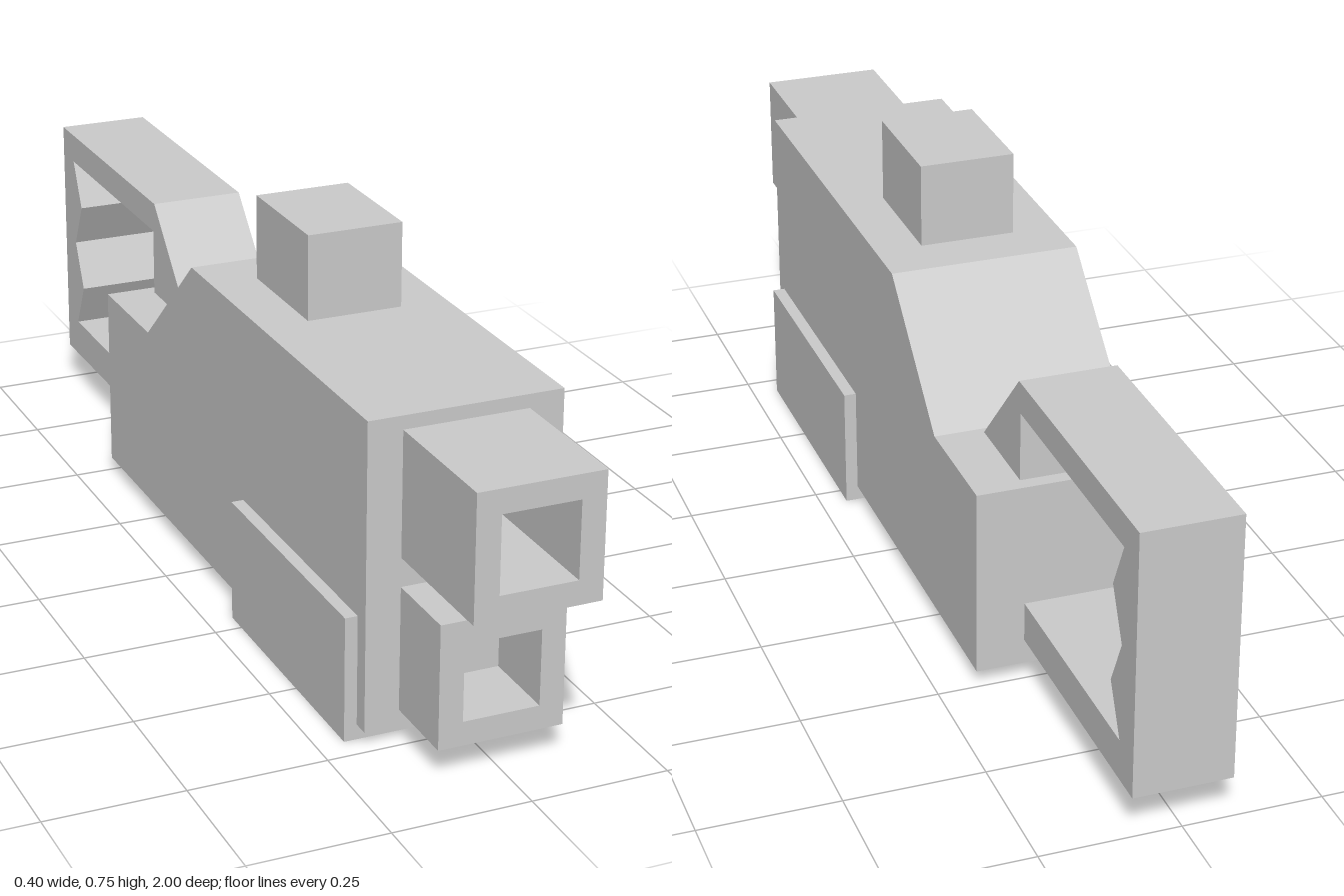
import * as THREE from 'three';

const material = new THREE.MeshStandardMaterial({ color: 0xcccccc, flatShading: true });

function add(group, name, geometry) {
  const mesh = new THREE.Mesh(geometry, material);
  mesh.name = name;
  group.add(mesh);
}

// Side outline given as [z, y] points, extruded symmetrically across x
function sideProfile(points, halfWidth) {
  const shape = new THREE.Shape(points.map(([z, y]) => new THREE.Vector2(-z, y)));
  const geometry = new THREE.ExtrudeGeometry(shape, { depth: 2 * halfWidth, bevelEnabled: false });
  return geometry.translate(0, 0, -halfWidth).rotateY(Math.PI / 2);
}

// Box from half width and y / z ranges
function block(halfWidth, y0, y1, z0, z1) {
  return new THREE.BoxGeometry(2 * halfWidth, y1 - y0, z1 - z0)
    .translate(0, (y0 + y1) / 2, (z0 + z1) / 2);
}

function square(PathType, half) {
  return new PathType([[-1, -1], [1, -1], [1, 1], [-1, 1]]
    .map(([x, y]) => new THREE.Vector2(x * half, y * half)));
}

// Square tube running forward along z
function squareTube(y, z0, z1) {
  const shape = square(THREE.Shape, 0.114);
  shape.holes.push(square(THREE.Path, 0.07));
  return new THREE.ExtrudeGeometry(shape, { depth: z1 - z0, bevelEnabled: false })
    .translate(0, y, z0);
}

export function createModel() {
  const group = new THREE.Group();

  // Main body with sloped rear step
  add(group, 'body', sideProfile([
    [0.735, 0.028], [0.735, 0.592], [-0.035, 0.592],
    [-0.27, 0.38], [-0.495, 0.38], [-0.495, 0.028],
  ], 0.177));

  // Wider block wrapped around the lower front
  add(group, 'lowerBlock', block(0.2, 0, 0.231, 0.207, 0.704));

  // Raised block on top
  add(group, 'topBlock', block(0.089, 0.592, 0.749, 0.062, 0.293));

  // Hollow square barrels
  add(group, 'upperBarrel', squareTube(0.453, 0.735, 1));
  add(group, 'lowerBarrel', squareTube(0.172, 0.735, 0.885));

  // Rear handle frame with a toothed inner grip
  add(group, 'handle', sideProfile([
    [-0.283, 0.38], [-0.46, 0.567], [-1, 0.567], [-1, 0.075],
    [-0.495, 0.075], [-0.495, 0.149], [-0.94, 0.149],
    [-0.897, 0.239], [-0.94, 0.329], [-0.897, 0.419], [-0.94, 0.509],
    [-0.468, 0.509], [-0.468, 0.38],
  ], 0.089));

  return group;
}
